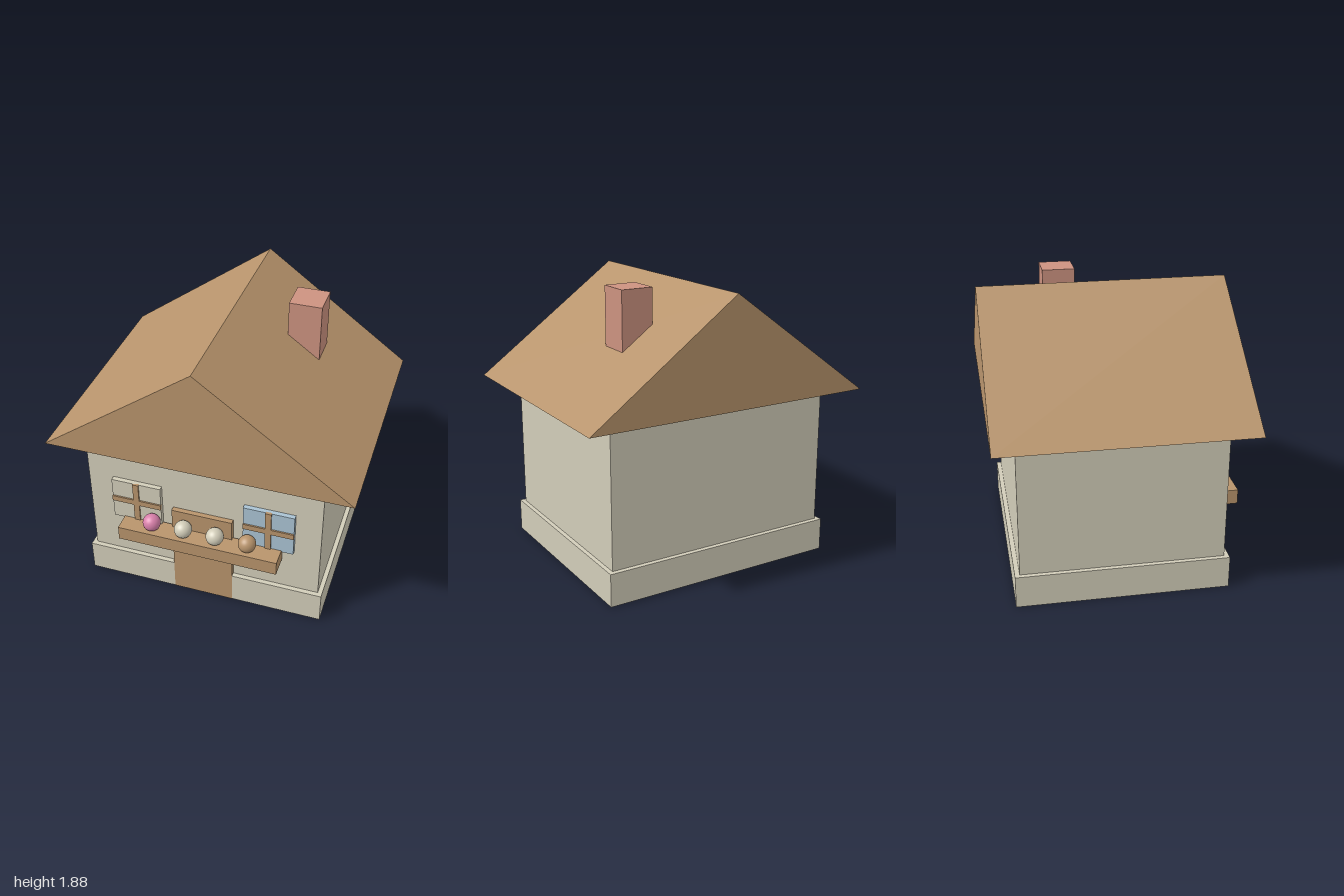
import * as THREE from 'three';

const material = (name, color) => {
  const m = new THREE.MeshStandardMaterial({ color });
  m.name = name;
  return m;
};

export function createModel() {
  const house = new THREE.Group();
  house.name = 'house';
  const cream = material('cream plaster', 0xd2cdb9);
  const wood = material('brown wood', 0xb8946c);
  const brick = material('brick red', 0xcc9280);
  const blue = material('pale blue', 0xaac3d3);
  const pink = material('pink', 0xd880aa);

  const add = (name, geometry, mat, parent = house) => {
    const mesh = new THREE.Mesh(geometry, mat);
    mesh.name = name;
    parent.add(mesh);
    return mesh;
  };
  // Box given by its lowest and highest corner
  const box = (name, mat, [x0, y0, z0], [x1, y1, z1], parent) => {
    const g = new THREE.BoxGeometry(x1 - x0, y1 - y0, z1 - z0);
    g.translate((x0 + x1) / 2, (y0 + y1) / 2, (z0 + z1) / 2);
    return add(name, g, mat, parent);
  };

  // Plinth and walls
  box('plinth', cream, [-0.82, 0, -0.7], [0.82, 0.22, 0.7]);
  box('walls', cream, [-0.79, 0.22, -0.668], [0.79, 1.155, 0.668]);

  // Gabled roof prism
  const gable = new THREE.Shape();
  gable.moveTo(-1, 1.155);
  gable.lineTo(1, 1.155);
  gable.lineTo(0, 1.88);
  gable.closePath();
  const roof = new THREE.ExtrudeGeometry(gable, { depth: 1.634, bevelEnabled: false });
  roof.translate(0, 0, -0.819);
  add('roof', roof, wood);

  // Chimney
  box('chimney', brick, [0.317, 1.35, -0.357], [0.532, 1.88, -0.138]);

  // Door, just proud of the plinth
  box('door', wood, [-0.206, 0.001, 0.6], [0.206, 0.705, 0.702]);

  // Windows with crossed glazing bars
  for (const [side, label, pane] of [[-1, 'right', cream], [1, 'left', blue]]) {
    const win = new THREE.Group();
    win.name = label + 'Window';
    house.add(win);
    const x = side * 0.449;
    box('pane', pane, [x - 0.169, 0.55, 0.66], [x + 0.169, 0.86, 0.7], win);
    box('uprightBar', wood, [x - 0.02, 0.55, 0.69], [x + 0.02, 0.86, 0.71], win);
    box('crossBar', wood, [x - 0.169, 0.688, 0.69], [x + 0.169, 0.728, 0.71], win);
  }

  // Counter shelf with a row of balls
  box('shelf', wood, [-0.544, 0.46, 0.68], [0.54, 0.56, 0.819]);
  [pink, cream, cream, wood].forEach((mat, i) => {
    const ball = add('ball', new THREE.SphereGeometry(0.059, 32, 20), mat);
    ball.position.set(-0.329 + i * 0.218, 0.609, 0.753);
  });

  return house;
}
